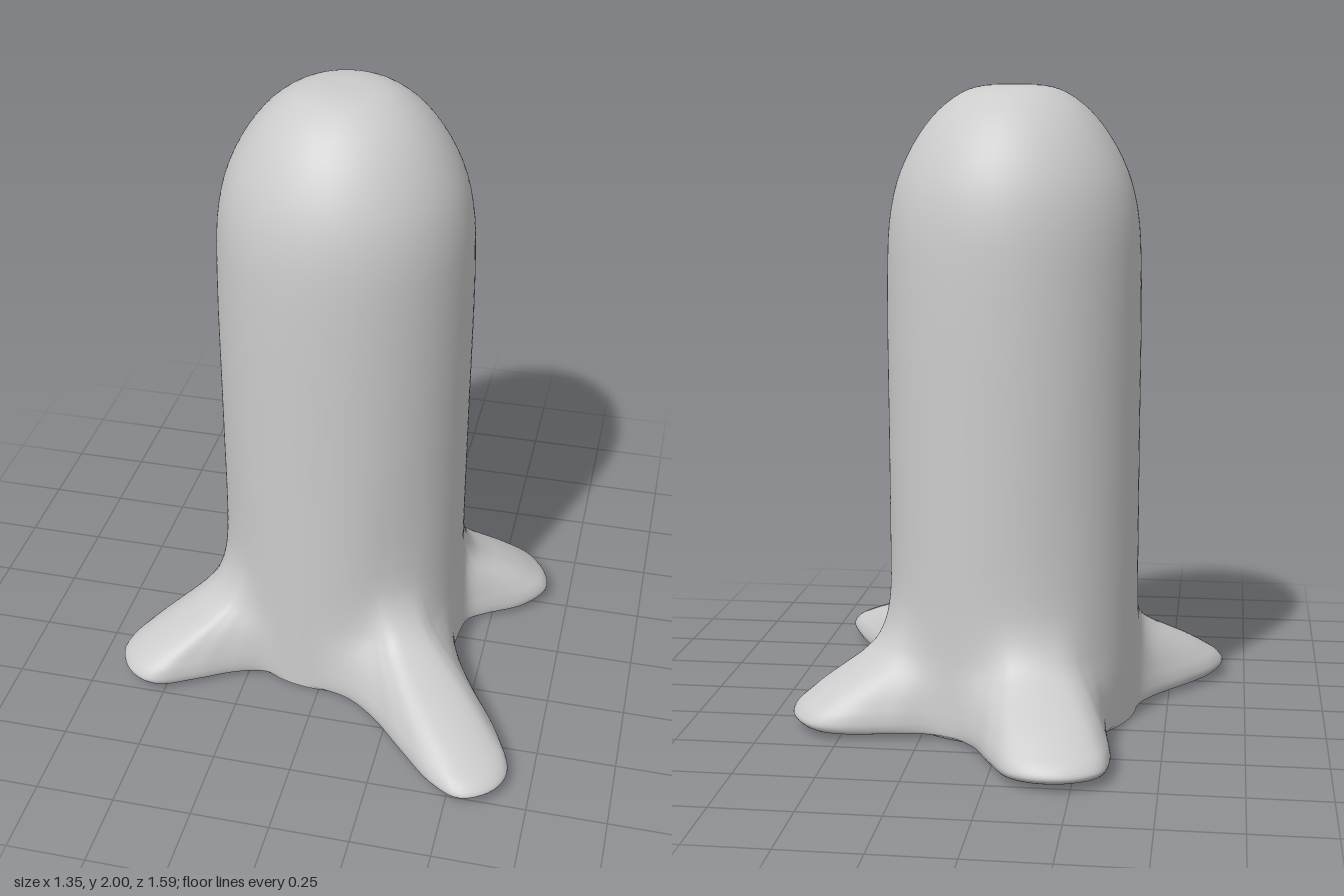
import * as THREE from 'three';

const R = 0.4;           // body radius
const CZ = -0.03;        // body axis offset in z
const COLUMNS = 240, ROWS = 72;

// Ground outline of the body with its four splayed feet, as [x, z]
const OUTLINE = [
  // front left foot
  [0.41, 0], [0.41, 0.1], [0.46, 0.23], [0.54, 0.37], [0.63, 0.52], [0.675, 0.65], [0.64, 0.74],
  [0.55, 0.79], [0.46, 0.75], [0.33, 0.62], [0.22, 0.5], [0.11, 0.415], [0, 0.378], [-0.1, 0.355],
  // front right foot
  [-0.2, 0.342], [-0.3, 0.38], [-0.42, 0.45], [-0.54, 0.505], [-0.62, 0.47], [-0.675, 0.37],
  [-0.65, 0.27], [-0.57, 0.16], [-0.47, 0.05], [-0.41, -0.04], [-0.385, -0.14], [-0.345, -0.25],
  // back foot
  [-0.325, -0.34], [-0.335, -0.46], [-0.355, -0.62], [-0.335, -0.73], [-0.26, -0.785], [-0.16, -0.797],
  [-0.07, -0.76], [0, -0.65], [0.07, -0.51], [0.14, -0.43], [0.22, -0.404],
  // back left foot
  [0.34, -0.425], [0.5, -0.458], [0.58, -0.445], [0.65, -0.37], [0.672, -0.28], [0.62, -0.2],
  [0.5, -0.13], [0.43, -0.08],
];

// Upright profile from the open rim to the crown: [body radius, share of foot reach, y]
const PROFILE = [
  [R, 0, 0], [R, 0.3, 0.006], [R, 0.6, 0.011], [R, 0.85, 0.016], [R, 0.96, 0.027], [R, 1, 0.045],
  [R, 0.96, 0.07], [R, 0.85, 0.1], [R, 0.7, 0.135], [R, 0.5, 0.175], [R, 0.3, 0.215],
  [R, 0.15, 0.26], [R, 0.05, 0.33], [R, 0, 0.43], [R, 0, 0.9], [R, 0, 1.4], [0.39, 0, 1.59],
  [0.36, 0, 1.72], [0.3, 0, 1.84], [0.23, 0, 1.925], [0.15, 0, 1.98], [0.08, 0, 1.997], [0, 0, 2],
];

const spline = (points, closed) =>
  new THREE.CatmullRomCurve3(points.map((p) => new THREE.Vector3(...p)), closed);

function buildShell() {
  const outline = spline(OUTLINE.map(([x, z]) => [x, 0, z]), true).getSpacedPoints(COLUMNS).slice(0, COLUMNS);
  const profile = spline(PROFILE, false).getPoints(ROWS);
  const positions = [], indices = [];

  // Each ring blends the round body with the foot outline
  for (const { x: radius, y: share, z: height } of profile) {
    for (const p of outline) {
      const dx = p.x, dz = p.z - CZ;
      const length = Math.hypot(dx, dz);
      const r = radius + Math.max(0, length - R) * share;
      positions.push((dx / length) * r, height, CZ + (dz / length) * r);
    }
  }
  for (let j = 0; j < ROWS; j++) {
    for (let i = 0; i < COLUMNS; i++) {
      const a = j * COLUMNS + i, b = j * COLUMNS + ((i + 1) % COLUMNS);
      const c = a + COLUMNS, d = b + COLUMNS;
      indices.push(a, c, b, b, c, d);
    }
  }
  const geometry = new THREE.BufferGeometry();
  geometry.setAttribute('position', new THREE.Float32BufferAttribute(positions, 3));
  geometry.setIndex(indices);
  geometry.computeVertexNormals();
  return geometry;
}

export function createModel() {
  const group = new THREE.Group();
  // Hollow shell, open underneath
  const material = new THREE.MeshStandardMaterial({ color: 0xcccccc, side: THREE.DoubleSide });
  const body = new THREE.Mesh(buildShell(), material);
  body.name = 'bodyWithFeet';
  group.add(body);
  return group;
}
